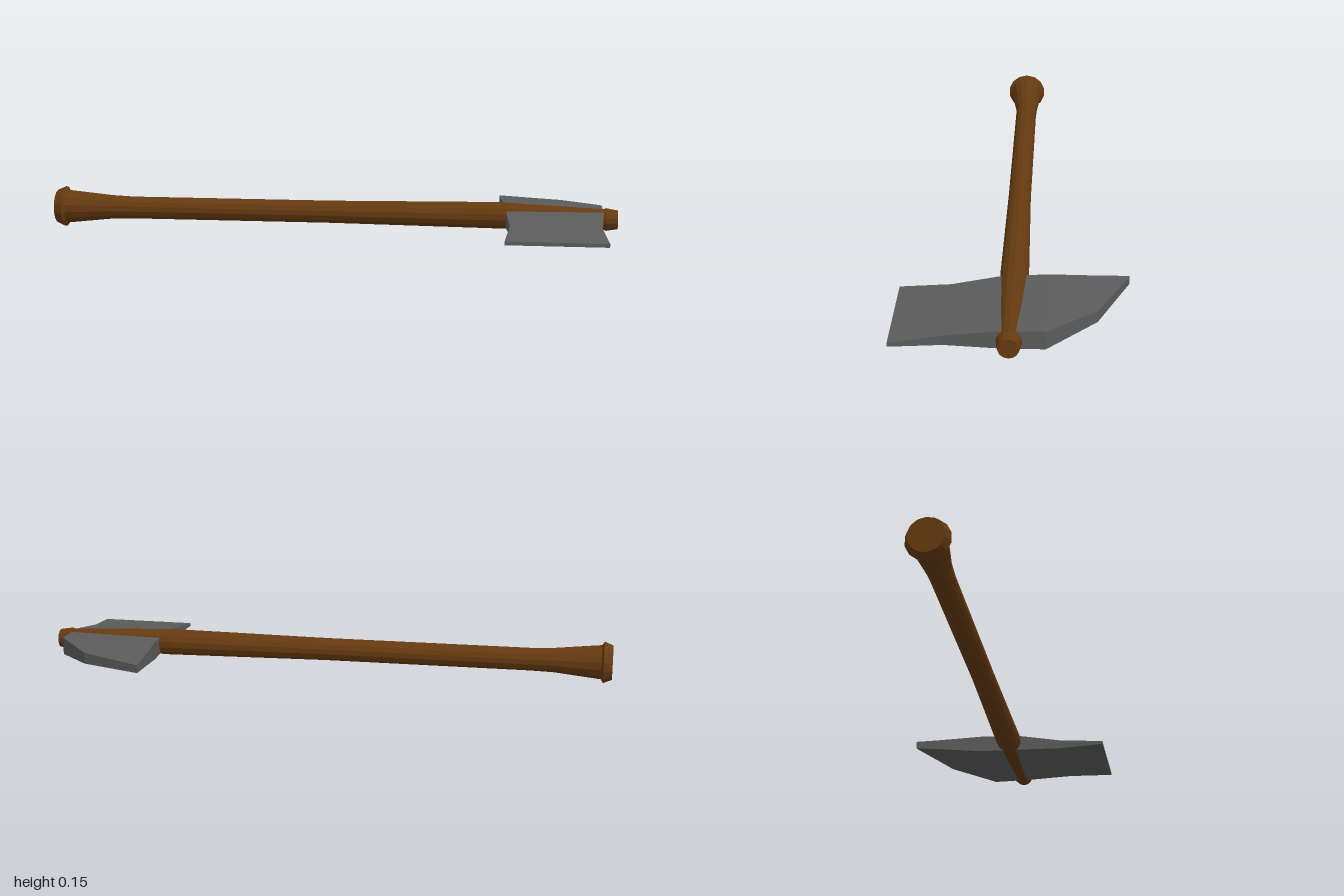
import * as THREE from 'three';

// Closed flat-faced solid through equal-length rings, each counter-clockwise about the direction of travel.
function loft(rings) {
  const n = rings[0].length;
  const pos = [];
  const tri = (a, b, c) => pos.push(...a, ...b, ...c);
  for (let i = 0; i < rings.length - 1; i++) {
    for (let j = 0; j < n; j++) {
      const k = (j + 1) % n;
      const [a, b, c, d] = [rings[i][j], rings[i][k], rings[i + 1][k], rings[i + 1][j]];
      tri(a, b, c);
      tri(a, c, d);
    }
  }
  const first = rings[0];
  const last = rings[rings.length - 1];
  for (let j = 1; j < n - 1; j++) {
    tri(first[0], first[j + 1], first[j]);
    tri(last[0], last[j], last[j + 1]);
  }
  const g = new THREE.BufferGeometry();
  g.setAttribute('position', new THREE.Float32BufferAttribute(pos, 3));
  g.computeVertexNormals();
  return g;
}

// Round ring about the x axis
function roundRing([x, y, z, r], sides = 14) {
  return Array.from({ length: sides }, (_, i) => {
    const a = (i / sides) * Math.PI * 2;
    return [x, y + r * Math.cos(a), z + r * Math.sin(a)];
  });
}

// Rectangular ring across the z axis
function boxRing([z, x0, x1, y0, y1]) {
  return [[x0, y0, z], [x1, y0, z], [x1, y1, z], [x0, y1, z]];
}

export function createModel() {
  const wood = new THREE.MeshStandardMaterial({ color: 0x653a10 });
  wood.name = 'brown wood';
  const steel = new THREE.MeshStandardMaterial({ color: 0x5c5c5c });
  steel.name = 'grey steel';
  wood.flatShading = steel.flatShading = true;

  const group = new THREE.Group();
  group.name = 'axe';
  const add = (name, rings, material) => {
    const mesh = new THREE.Mesh(loft(rings), material);
    mesh.name = name;
    group.add(mesh);
  };

  // Handle with flared pommel: x, centre y, centre z, radius
  add('handle', [
    [-1, 0.075, 0.02, 0.06],
    [-0.97, 0.075, 0.02, 0.073],
    [-0.962, 0.075, 0.02, 0.06],
    [-0.8, 0.075, 0.015, 0.043],
    [-0.72, 0.074, 0.014, 0.04],
    [0, 0.073, 0.008, 0.04],
    [0.58, 0.072, 0, 0.047],
    [0.95, 0.066, 0, 0.036],
    [0.96, 0.065, 0, 0.04],
    [1, 0.065, 0, 0.033],
  ].map((s) => roundRing(s)), wood);

  // Curved blade and adze in one head: z, x range, y range
  add('head', [
    [-0.367, 0.585, 0.588, 0.058, 0.086],
    [-0.265, 0.592, 0.812, 0.05, 0.089],
    [-0.11, 0.605, 0.95, 0.035, 0.097],
    [0.04, 0.615, 0.95, 0.035, 0.093],
    [0.2, 0.63, 0.938, 0.035, 0.068],
    [0.367, 0.615, 0.955, 0.035, 0.047],
  ].map(boxRing), steel);

  return group;
}
